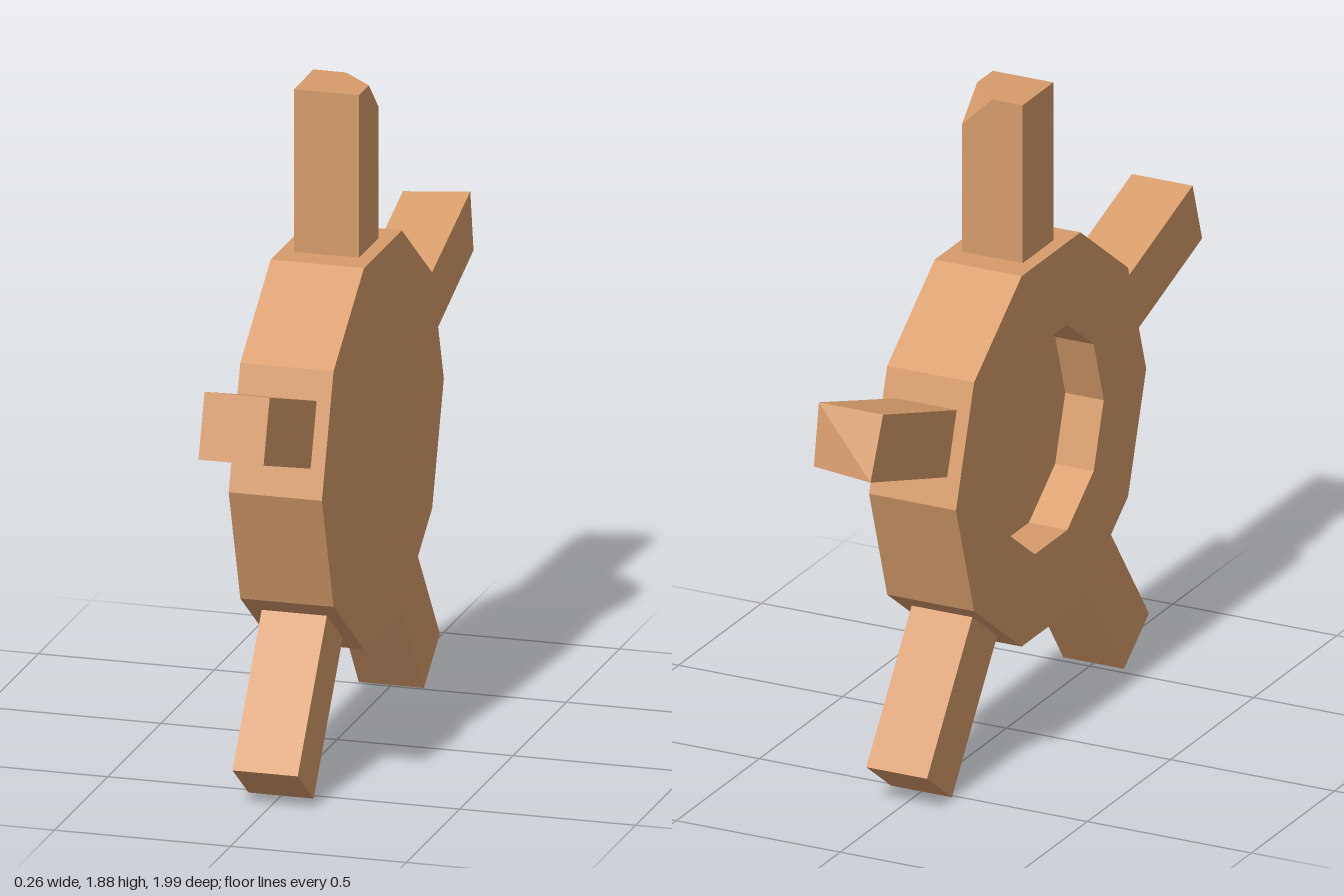
import * as THREE from 'three';
import { ConvexGeometry } from 'three/addons/geometries/ConvexGeometry.js';

const HALF = 0.0925;   // half width of a spoke
const INNER = 0.42;    // spoke root, hidden inside the hub
const OUTER = 1.008;   // spoke tip

const corners = (y) => [[-HALF, y, -HALF], [HALF, y, -HALF], [HALF, y, HALF], [-HALF, y, HALF]];

// Solid spoke from its root corners and the given tip points
function spokeGeometry(tip) {
  return new ConvexGeometry([...corners(INNER), ...tip].map((p) => new THREE.Vector3(...p)));
}

export function createModel() {
  const wood = new THREE.MeshStandardMaterial({ color: 0xd79c6b });
  wood.name = 'light wood';

  const model = new THREE.Group();
  model.name = 'spokedWheel';
  const wheel = new THREE.Group();
  wheel.name = 'wheel';
  wheel.position.set(0, 0.88, 0.007);
  model.add(wheel);

  // Ten-sided hub with a recess in its -x face
  const profile = [
    [0, -0.1325], [0.572, -0.1325], [0.572, 0.1325],
    [0.317, 0.1325], [0.317, 0.015], [0, 0.015],
  ].map(([r, y]) => new THREE.Vector2(r, y));
  const hubGeometry = new THREE.LatheGeometry(profile, 10).toNonIndexed();
  hubGeometry.computeVertexNormals();
  hubGeometry.rotateZ(Math.PI / 2);
  const hub = new THREE.Mesh(hubGeometry, wood);
  hub.name = 'hub';
  wheel.add(hub);

  // Spoke tips: plain, one with a cut corner, one slightly skewed
  const plainTip = corners(OUTER);
  const cutTip = [
    [-HALF, OUTER, -HALF], [0, OUTER, -HALF], [HALF, OUTER - 0.09, -HALF],
    [HALF, OUTER, 0], [HALF, OUTER, HALF], [-HALF, OUTER, HALF],
  ];
  const skewedTip = [
    [HALF, 1.034, 0.1], [-HALF, 1.011, 0.097],
    [HALF, 1.008, -0.078], [-HALF, 1.03, -0.09],
  ];
  const tips = [cutTip, plainTip, plainTip, plainTip, skewedTip];
  const names = ['topSpoke', 'upperFrontSpoke', 'lowerFrontSpoke', 'lowerBackSpoke', 'upperBackSpoke'];

  // Five spokes spaced evenly round the hub
  tips.forEach((tip, i) => {
    const spoke = new THREE.Mesh(spokeGeometry(tip), wood);
    spoke.name = names[i];
    spoke.rotation.x = (i < 4 ? i : -1) * Math.PI * 2 / 5;
    wheel.add(spoke);
  });

  return model;
}
